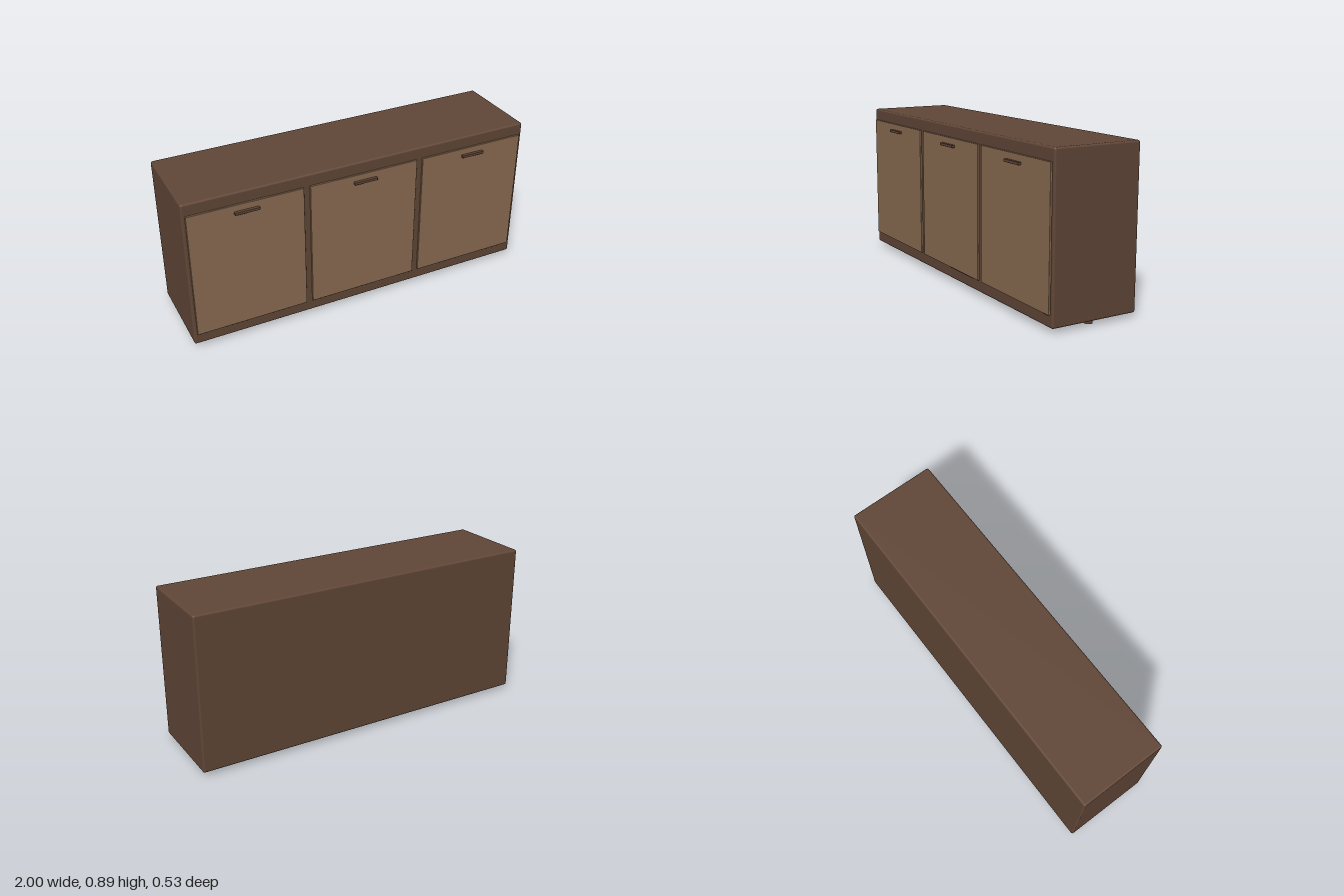
import * as THREE from 'three';
import { RoundedBoxGeometry } from 'three/addons/geometries/RoundedBoxGeometry.js';

export function createModel() {
  const group = new THREE.Group();
  const darkWood = new THREE.MeshStandardMaterial({ color: 0x614637 });
  darkWood.name = 'darkWood';
  const lightWood = new THREE.MeshStandardMaterial({ color: 0x896b51 });
  lightWood.name = 'lightWood';

  function add(name, geometry, material, x, y, z) {
    const mesh = new THREE.Mesh(geometry, material);
    mesh.name = name;
    mesh.position.set(x, y, z);
    group.add(mesh);
  }

  // Cabinet body with softly rounded edges
  add('cabinetBody', new RoundedBoxGeometry(2, 0.864, 0.499, 3, 0.011), darkWood, 0, 0.457, -0.0125);

  // Three doors, each with a bar handle near the top
  const doorGeometry = new RoundedBoxGeometry(0.631, 0.732, 0.022, 2, 0.003);
  const handleGeometry = new RoundedBoxGeometry(0.134, 0.015, 0.018, 2, 0.002);
  for (const [i, side] of ['right', 'middle', 'left'].entries()) {
    const x = (i - 1) * 0.666;
    add(side + 'Door', doorGeometry, lightWood, x, 0.456, 0.236);
    add(side + 'Handle', handleGeometry, darkWood, x, 0.779, 0.255);
  }

  // One short round foot under each end
  const footGeometry = new THREE.CylinderGeometry(0.0225, 0.0225, 0.027, 24);
  for (const s of [-1, 1]) {
    add(s < 0 ? 'rightFoot' : 'leftFoot', footGeometry, darkWood, s * 0.945, 0.0135, -0.0125);
  }
  return group;
}
